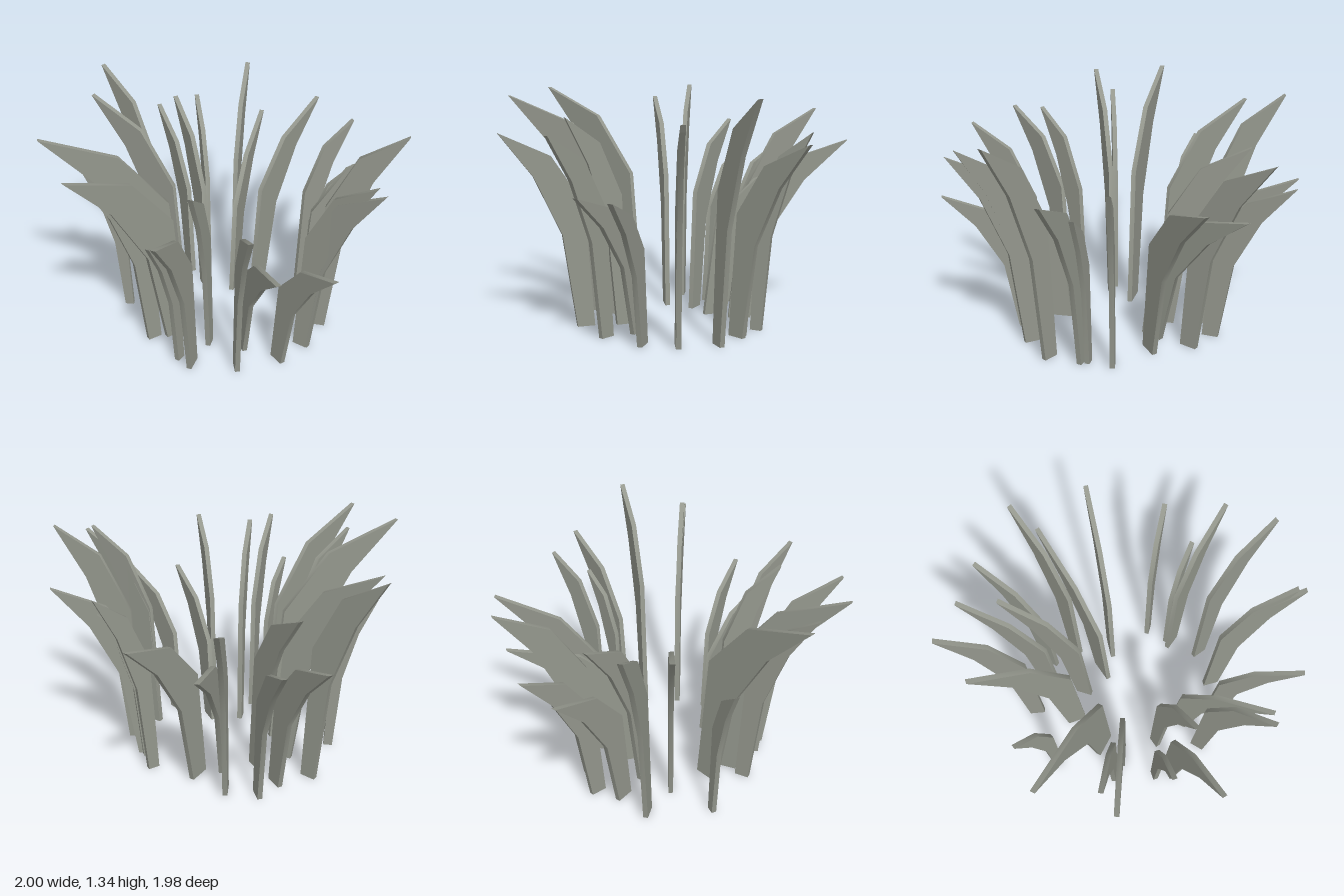
import * as THREE from 'three';
import { toCreasedNormals } from 'three/addons/utils/BufferGeometryUtils.js';

// Each blade: inner base x, z, then tip x, z, then height
const BLADES = [
  [-0.08, -0.33, -0.22, -0.99, 1.05], [0.14, -0.49, 0.23, -0.82, 1.13],
  [0.26, -0.43, 0.39, -0.67, 0.95], [0.27, -0.39, 0.58, -0.83, 1.10],
  [0.44, -0.33, 0.82, -0.60, 1.34], [0.50, -0.14, 0.98, -0.25, 1.19],
  [0.50, -0.135, 0.93, -0.245, 1.22], [0.50, 0.04, 1.00, 0.10, 0.84],
  [0.27, 0.10, 0.82, 0.33, 0.83], [0.41, 0.25, 0.78, 0.49, 1.14],
  [0.16, 0.22, 0.36, 0.52, 1.20], [0.23, 0.40, 0.49, 0.86, 1.12],
  [0.16, 0.44, 0.25, 0.72, 0.93], [-0.02, 0.27, -0.06, 0.99, 1.29],
  [-0.07, 0.42, -0.14, 0.85, 1.19], [-0.11, 0.20, -0.47, 0.87, 1.32],
  [-0.41, 0.36, -0.61, 0.54, 0.96], [-0.26, 0.07, -0.83, 0.27, 1.25],
  [-0.52, 0.03, -1.00, 0.07, 1.32], [-0.42, -0.13, -0.96, -0.31, 0.94],
  [-0.22, -0.08, -0.70, -0.24, 1.12], [-0.29, -0.36, -0.64, -0.78, 1.20],
  [-0.44, -0.28, -0.86, -0.54, 0.97], [-0.11, -0.18, -0.51, -0.79, 0.91],
];
const THICK = 0.028;

// Side profile of a blade that bends outward (+x) to a point,
// smooth along its narrow edges and sharp where they meet the flat sides
function bladeGeometry(reach, height) {
  const shape = new THREE.Shape([
    [0, 0],
    [0.19, 0],
    [0.34, 0.48],
    [0.64, 0.78],
    [1, 1],
    [0.45, 0.88],
    [0.10, 0.63],
  ].map(([x, y]) => new THREE.Vector2(x * reach, y * height)));
  const geometry = new THREE.ExtrudeGeometry(shape, { depth: THICK, bevelEnabled: false });
  return toCreasedNormals(geometry.translate(0, 0, -THICK / 2), 0.9);
}

export function createModel() {
  const group = new THREE.Group();
  group.name = 'grassTuft';
  const material = new THREE.MeshStandardMaterial({ color: 0x94978d });

  // Ring of blades leaning away from the middle
  BLADES.forEach(([x, z, tipX, tipZ, height], i) => {
    const dx = tipX - x, dz = tipZ - z;
    const blade = new THREE.Mesh(bladeGeometry(Math.hypot(dx, dz), height), material);
    blade.name = `grassBlade${i + 1}`;
    blade.position.set(x, 0, z);
    blade.rotation.y = Math.atan2(-dz, dx);
    group.add(blade);
  });
  return group;
}
